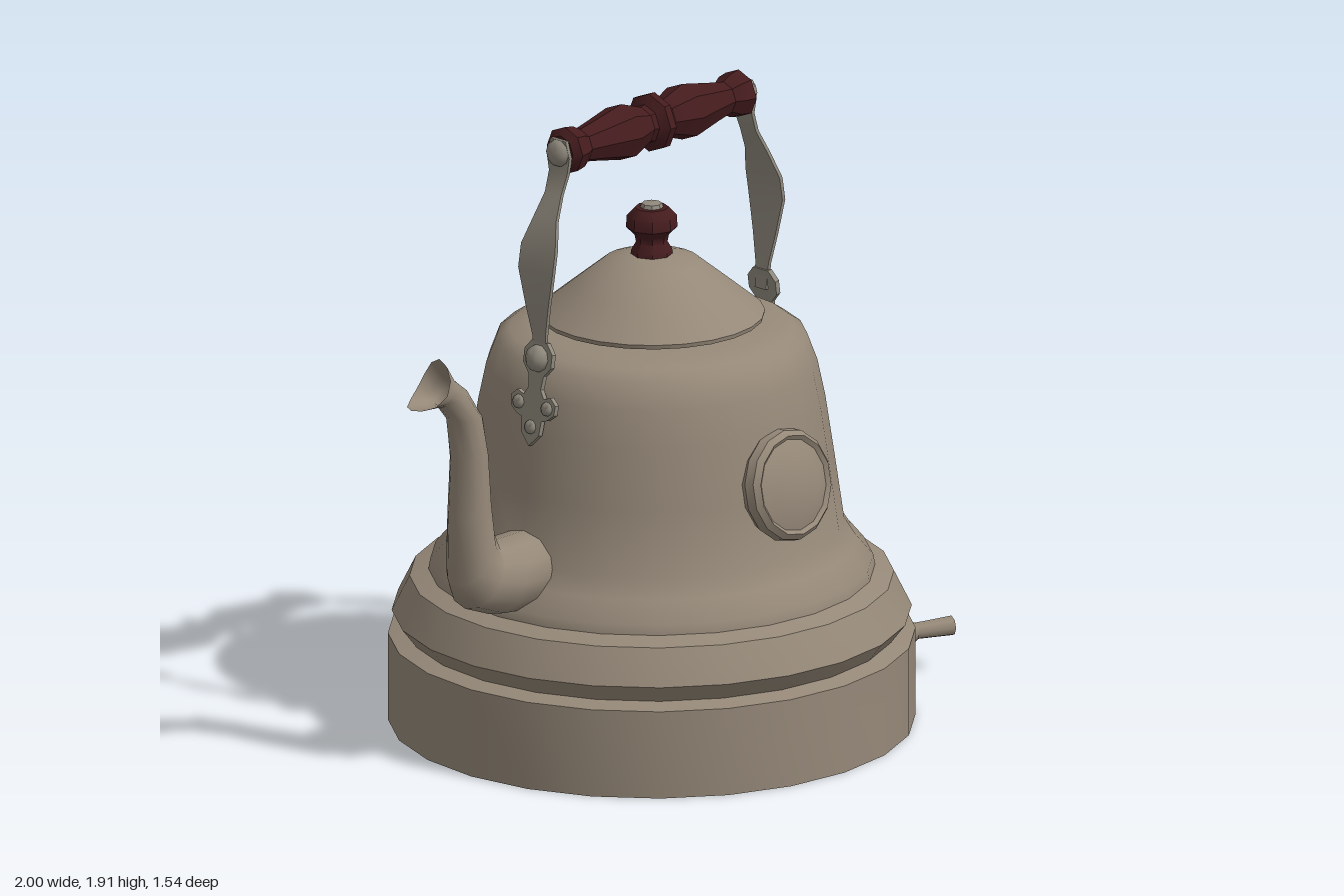
import * as THREE from 'three';
import { toCreasedNormals } from 'three/addons/utils/BufferGeometryUtils.js';

const enamel = new THREE.MeshStandardMaterial({ color: 0x958878, name: 'enamel', side: THREE.DoubleSide });
const metal = new THREE.MeshStandardMaterial({ color: 0x8f897d, name: 'strapMetal' });
const wood = new THREE.MeshStandardMaterial({ color: 0x451c1e, name: 'darkWood' });

const AXIS = 0.025; // x of the kettle's centre line

function add(parent, name, geometry, material) {
  const mesh = new THREE.Mesh(geometry, material);
  mesh.name = name;
  parent.add(mesh);
  return mesh;
}

// Turned part: profile of [radius, height], listed from bottom to top
function turned(profile, sides, crease = 0.7) {
  const pts = profile.map(([r, y]) => new THREE.Vector2(r, y));
  return toCreasedNormals(new THREE.LatheGeometry(pts, sides), crease);
}

// Spout rings: [outer x, outer y, inner x, inner y, half width, bend of the sides]
function spoutGeometry() {
  const rings = [
    [-0.48, 0.46, -0.48, 0.70, 0.12, 0],
    [-0.67, 0.48, -0.60, 0.70, 0.12, 0],
    [-0.77, 0.52, -0.665, 0.70, 0.10, 0],
    [-0.81, 0.60, -0.68, 0.75, 0.08, 0],
    [-0.812, 0.80, -0.69, 0.85, 0.068, 0],
    [-0.805, 0.97, -0.70, 1.00, 0.06, 0],
    [-0.83, 1.11, -0.715, 1.10, 0.052, 0],
    [-0.88, 1.165, -0.78, 1.20, 0.045, 0],
    [-0.92, 1.17, -0.835, 1.245, 0.045, 0.01],
    [-1.0, 1.18, -0.88, 1.31, 0.06, 0.03],
  ];
  const sides = 12, position = [], index = [];
  rings.forEach(([ox, oy, ix, iy, w, bend], i) => {
    for (let j = 0; j < sides; j++) {
      const t = (j / sides) * Math.PI * 2, c = Math.cos(t), s = Math.sin(t);
      position.push(
        (ox + ix) / 2 + ((ox - ix) / 2) * c + bend * s * s,
        (oy + iy) / 2 + ((oy - iy) / 2) * c - bend * s * s,
        w * s);
      if (i < rings.length - 1) {
        const a = i * sides + j, b = i * sides + (j + 1) % sides;
        index.push(a, b, a + sides, b, b + sides, a + sides);
      }
    }
  });
  const g = new THREE.BufferGeometry();
  g.setAttribute('position', new THREE.Float32BufferAttribute(position, 3));
  g.setIndex(index);
  g.computeVertexNormals();
  return g;
}

// Bowed strap: stations of [x, y, half width] shape a thin segmented box
function strapGeometry() {
  const stations = [
    [0.468, 1.20, 0.022], [0.475, 1.28, 0.026], [0.484, 1.37, 0.045], [0.49, 1.48, 0.068],
    [0.478, 1.55, 0.068], [0.45, 1.63, 0.045], [0.415, 1.70, 0.032],
    [0.393, 1.76, 0.036], [0.393, 1.81, 0.045], [0.393, 1.86, 0.03],
  ];
  const n = stations.length - 1;
  const g = new THREE.BoxGeometry(0.012, 1, 2, 1, n, 1);
  const p = g.attributes.position;
  for (let i = 0; i < p.count; i++) {
    const [x, y, w] = stations[Math.round((p.getY(i) + 0.5) * n)];
    p.setXYZ(i, p.getX(i) + x, y, p.getZ(i) * w);
  }
  return toCreasedNormals(g, 0.7);
}

// Trefoil mounting plate, its upper eye at the origin, facing +x
function mountGeometry() {
  const half = [
    [0.03, 0.05], [0.055, 0.02], [0.055, -0.02], [0.03, -0.05], [0.024, -0.09], [0.04, -0.115],
    [0.065, -0.105], [0.088, -0.125], [0.085, -0.155], [0.06, -0.175], [0.04, -0.18],
    [0.035, -0.225], [0.0, -0.262],
  ];
  const outline = [...half, ...half.slice(0, -1).reverse().map(([x, y]) => [-x, y])];
  const shape = new THREE.Shape(outline.map(([x, y]) => new THREE.Vector2(x, y)));
  const g = new THREE.ExtrudeGeometry(shape, { depth: 0.016, bevelEnabled: false });
  return g.rotateY(Math.PI / 2);
}

// Domed rivet pointing along +x
function rivet(parent, r, h, x, y, z) {
  const g = turned([[r, 0], [r * 0.9, h * 0.5], [r * 0.5, h * 0.9], [0, h]], 10, 1).rotateZ(-Math.PI / 2);
  add(parent, 'rivet', g, metal).position.set(x, y, z);
}

export function createModel() {
  const model = new THREE.Group();
  model.name = 'kettle';
  const pot = new THREE.Group();
  pot.name = 'pot';
  pot.position.x = AXIS;
  model.add(pot);

  // Pot body: base drum, swollen ring, tapering wall and shoulder
  add(pot, 'body', turned([
    [0, 0], [0.768, 0], [0.768, 0.265], [0.715, 0.28], [0.757, 0.335], [0.705, 0.44],
    [0.65, 0.46], [0.645, 0.49], [0.595, 0.55], [0.56, 0.605], [0.532, 0.80], [0.505, 0.98],
    [0.482, 1.09], [0.452, 1.17], [0.415, 1.195], [0.35, 1.212], [0, 1.215],
  ], 24), enamel);

  // Lid and its knob
  add(pot, 'lid', turned([
    [0, 1.228], [0.327, 1.23], [0.33, 1.243], [0.23, 1.325], [0.14, 1.398], [0.07, 1.418], [0, 1.42],
  ], 24), enamel);
  add(pot, 'lidKnob', turned([
    [0.062, 1.41], [0.06, 1.43], [0.046, 1.455], [0.05, 1.475], [0.075, 1.50],
    [0.073, 1.535], [0.05, 1.56], [0, 1.562],
  ], 8), wood);
  add(pot, 'lidKnobCap', turned([[0.036, 1.555], [0.03, 1.572], [0, 1.577]], 8), metal);

  // Spout
  add(model, 'spout', spoutGeometry(), enamel);

  // Round gauge on the front wall
  const gauge = add(pot, 'gauge', turned([
    [0, -0.04], [0.15, -0.04], [0.167, -0.01], [0.163, 0.02], [0.147, 0.036],
    [0.135, 0.026], [0.09, 0.042], [0, 0.05],
  ], 14, 0.5).rotateX(Math.PI / 2), enamel);
  gauge.position.set(0, 0.83, 0.54);
  gauge.rotation.x = -0.2;

  // Turned wooden grip, mirrored about its middle
  const halfGrip = [[0.088, 0.012], [0.06, 0.03], [0.055, 0.045], [0.085, 0.13], [0.062, 0.24],
    [0.05, 0.305], [0.066, 0.335], [0.072, 0.37], [0.05, 0.388], [0, 0.389]];
  const grip = [...halfGrip.map(([r, y]) => [r, -y]).reverse(), ...halfGrip];
  add(pot, 'grip', turned(grip, 8, 0.6).rotateZ(-Math.PI / 2), wood).position.y = 1.82;

  // Handle straps and mounting plates on both sides
  for (const angle of [0, Math.PI]) {
    const side = new THREE.Group();
    side.name = angle ? 'rightStrapSide' : 'leftStrapSide';
    side.rotation.y = angle;
    pot.add(side);
    add(side, 'strap', strapGeometry(), metal);
    rivet(side, 0.042, 0.025, 0.397, 1.82, 0);

    const mount = new THREE.Group();
    mount.name = 'mount';
    mount.position.set(0.47, 1.21, 0);
    mount.rotation.z = 0.15;
    side.add(mount);
    add(mount, 'mountPlate', mountGeometry(), metal);
    rivet(mount, 0.042, 0.035, 0.012, 0, 0);
    rivet(mount, 0.022, 0.014, 0.014, -0.14, 0.056);
    rivet(mount, 0.022, 0.014, 0.014, -0.14, -0.056);
    rivet(mount, 0.022, 0.014, 0.014, -0.205, 0);
  }

  // Three levers fanned around the base
  for (const angle of [-0.355, 0, 0.355]) {
    const lever = new THREE.Group();
    lever.name = 'lever';
    lever.rotation.y = angle;
    pot.add(lever);
    add(lever, 'leverCollar', turned([
      [0, -0.03], [0.085, -0.03], [0.096, 0], [0.09, 0.025], [0.07, 0.04], [0, 0.04],
    ], 8, 0.5).rotateZ(-Math.PI / 2), wood).position.set(0.765, 0.135, 0);
    add(lever, 'leverFlange', turned([
      [0.066, 0.03], [0.066, 0.05], [0.04, 0.062], [0.028, 0.09], [0, 0.092],
    ], 10).rotateZ(-Math.PI / 2), enamel).position.set(0.765, 0.135, 0);
    const stem = add(lever, 'leverStem',
      new THREE.CylinderGeometry(0.03, 0.024, 0.15, 8).rotateZ(-Math.PI / 2), enamel);
    stem.position.set(0.90, 0.137, 0);
  }
  return model;
}
